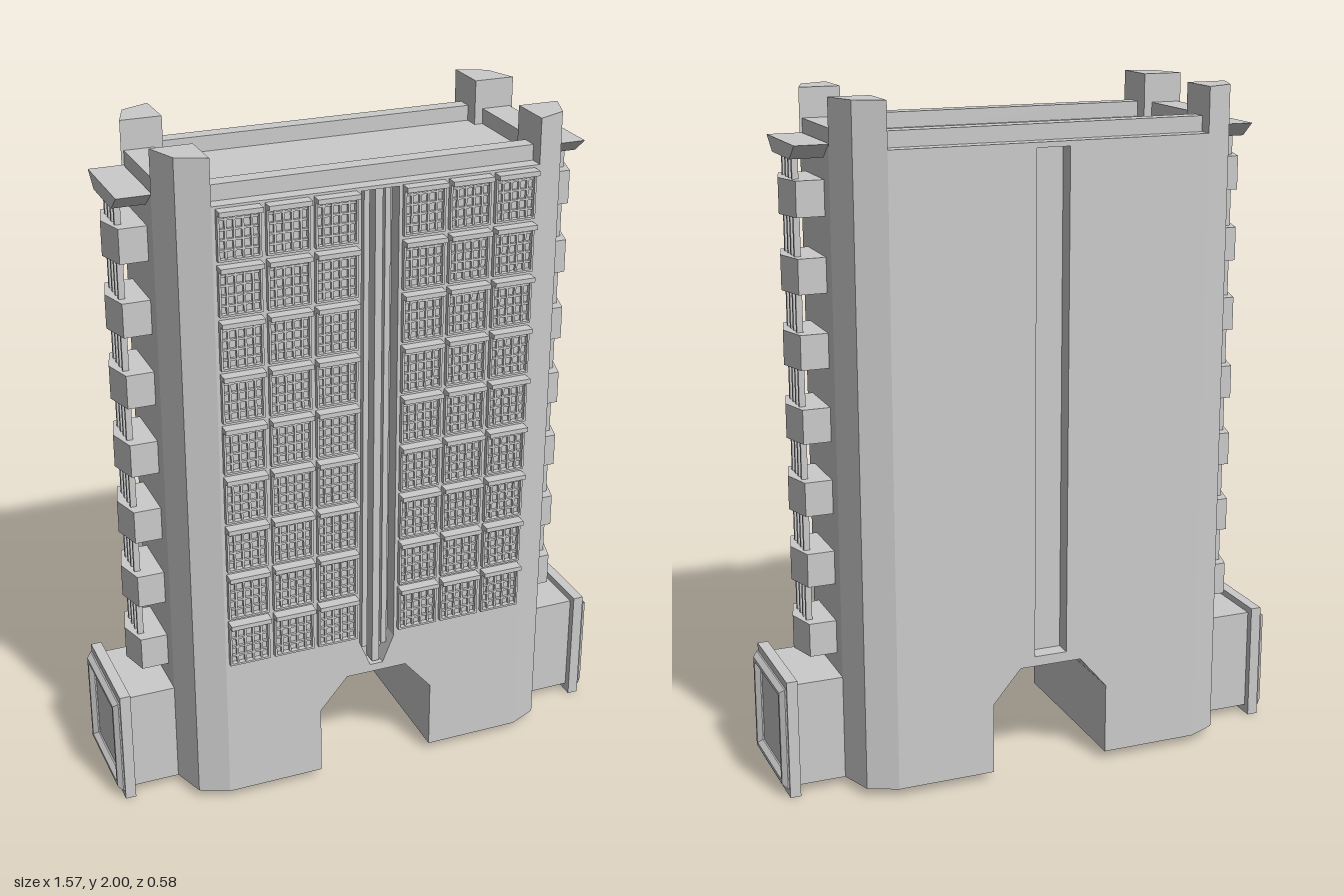
import * as THREE from 'three';
import { mergeGeometries } from 'three/addons/utils/BufferGeometryUtils.js';

const ZC = -0.018;   // middle of the building's depth
const HALF = 0.275;  // half depth
const BASE = 0.025, ROOF = 1.87;
const mat = new THREE.MeshStandardMaterial({ color: 0xcccccc, flatShading: true });

function add(group, name, geometry) {
  const mesh = new THREE.Mesh(geometry, mat);
  mesh.name = name;
  group.add(mesh);
  return mesh;
}

// Box given by its limits on each axis
function box(x0, x1, y0, y1, z0, z1) {
  return new THREE.BoxGeometry(x1 - x0, y1 - y0, z1 - z0)
    .translate((x0 + x1) / 2, (y0 + y1) / 2, (z0 + z1) / 2);
}

const poly = (pts) => new THREE.Shape(pts.map(([x, y]) => new THREE.Vector2(x, y)));

// Front outline pushed along z
function slab(shape, z0, z1) {
  return new THREE.ExtrudeGeometry(shape, { depth: z1 - z0, bevelEnabled: false }).translate(0, 0, z0);
}

// Plan outline (x, z) raised along y
function prism(plan, y0, y1) {
  return new THREE.ExtrudeGeometry(poly(plan.map(([x, z]) => [x, -z])), { depth: y1 - y0, bevelEnabled: false })
    .rotateX(-Math.PI / 2).translate(0, y0, 0);
}

// Wall outline with the archway cut out, and an optional groove
function wallShape(groove) {
  const s = poly([[-0.475, BASE], [-0.18, BASE], [-0.18, 0.24], [-0.095, 0.34], [0.095, 0.34],
    [0.18, 0.24], [0.18, BASE], [0.475, BASE], [0.475, ROOF], [-0.475, ROOF]]);
  if (groove) s.holes.push(poly(groove));
  return s;
}

// One window: frame, lattice and projecting hood, with its top left corner at x, top
function windowGeometry(x, top) {
  const w = 0.122, h = 0.143, t = 0.006, z = 0.25, parts = [];
  const x1 = x + w, y0 = top - h;
  parts.push(box(x, x + t, y0, top, z, 0.272), box(x1 - t, x1, y0, top, z, 0.272));
  parts.push(box(x + t, x1 - t, y0, y0 + t, z, 0.272));
  parts.push(box(x, x1, top - 0.014, top, z, 0.291));
  const n = 5;
  for (let i = 1; i < n; i++) {
    const bx = x + (w * i) / n, by = y0 + (h * i) / n;
    parts.push(box(bx - 0.003, bx + 0.003, y0 + t, top - 0.014, z, 0.266));
    parts.push(box(x + t, x1 - t, by - 0.003, by + 0.003, z, 0.265));
  }
  return mergeGeometries(parts);
}

// Everything on one flank, with z measured from the middle of the depth
function makeFlank() {
  const g = new THREE.Group();
  const f = 0.1375;
  add(g, 'sideWall', box(0.475, 0.595, BASE, ROOF, -f, f));
  add(g, 'frontCornerPost', prism([[0.475, f], [0.475, HALF], [0.56, 0.236], [0.595, f]], BASE, 2));
  add(g, 'backCornerPost', prism([[0.475, -f], [0.595, -f], [0.56, -0.236], [0.475, -HALF]], BASE, 2));
  add(g, 'sideParapet', box(0.5, 0.587, ROOF - 0.01, 1.915, -f, f));

  // Canopy narrowing downwards
  const canopy = poly([[-0.086, 1.833], [0.086, 1.833], [f, 1.875], [-f, 1.875]]);
  add(g, 'canopy', slab(canopy, 0, 0.1).rotateY(Math.PI / 2).translate(0.59, 0, 0));

  // Stack of pointed balconies on slim columns
  const plan = [[0.59, 0.0875], [0.675, 0.0875], [0.7, 0], [0.675, -0.0875], [0.59, -0.0875]];
  for (let i = 0; i < 7; i++) {
    const y = 0.397 + i * 0.2128;
    add(g, 'balcony', prism(plan, y, y + 0.1));
  }
  for (const z of [-0.047, -0.015, 0.015, 0.047]) {
    add(g, 'balconyColumn', box(0.656, 0.674, 0.42, 1.84, z - 0.005, z + 0.005));
  }

  // Annex with end plate and bevelled frame
  add(g, 'annex', box(0.59, 0.74, BASE, 0.34, -f, f));
  add(g, 'annexPlate', box(0.736, 0.768, 0, 0.36, -0.16, 0.16));
  const a = 0.143, b = 0.132;
  const ring = poly([[-a, -a], [a, -a], [a, a], [-a, a]]);
  ring.holes.push(poly([[-b, -b], [-b, b], [b, b], [b, -b]]));
  add(g, 'annexFrame', new THREE.ExtrudeGeometry(ring, {
    depth: 0.004, bevelThickness: 0.014, bevelSize: 0.012, bevelSegments: 1,
  }).rotateY(Math.PI / 2).translate(0.769, 0.182, 0));
  return g;
}

export function createModel() {
  const model = new THREE.Group();
  model.name = 'tower';
  const front = ZC + HALF, back = ZC - HALF;

  // Main block: core between a grooved front wall and a grooved back wall
  const frontGroove = [[0, 0.365], [-0.02, 0.365], [-0.055, 0.45], [-0.055, 1.86], [0.055, 1.86], [0.055, 0.45], [0.02, 0.365]];
  const backGroove = [[-0.05, 0.37], [-0.05, 1.855], [0.05, 1.855], [0.05, 0.37]];
  add(model, 'core', slab(wallShape(), back + 0.05, front - 0.05));
  add(model, 'frontWall', slab(wallShape(frontGroove), front - 0.05, front));
  add(model, 'backWall', slab(wallShape(backGroove), back, back + 0.05));

  // Ribs in the front groove
  add(model, 'centreRib', box(-0.011, 0.011, 0.37, 1.86, front - 0.05, front - 0.008));
  for (const s of [-1, 1]) {
    add(model, 'sideRib', box(s * 0.031 - 0.008, s * 0.031 + 0.008, 0.42, 1.86, front - 0.05, front - 0.02));
  }

  // Windows: nine rows of three on each side of the groove
  const windows = [];
  for (const x of [-0.465, -0.328, -0.191, 0.065, 0.201, 0.338]) {
    for (let row = 0; row < 9; row++) windows.push(windowGeometry(x, 1.863 - row * 0.1555));
  }
  add(model, 'windows', mergeGeometries(windows));

  // Roof parapets, set back from the wall faces
  add(model, 'frontParapet', box(-0.475, 0.475, ROOF - 0.01, 1.915, 0.165, 0.215));
  add(model, 'backParapet', box(-0.475, 0.475, ROOF - 0.01, 1.915, -0.251, -0.203));

  // Two flanks, the second turned half round
  for (const [name, turn] of [['leftFlank', 0], ['rightFlank', Math.PI]]) {
    const flank = makeFlank();
    flank.name = name;
    flank.position.z = ZC;
    flank.rotation.y = turn;
    model.add(flank);
  }
  return model;
}
